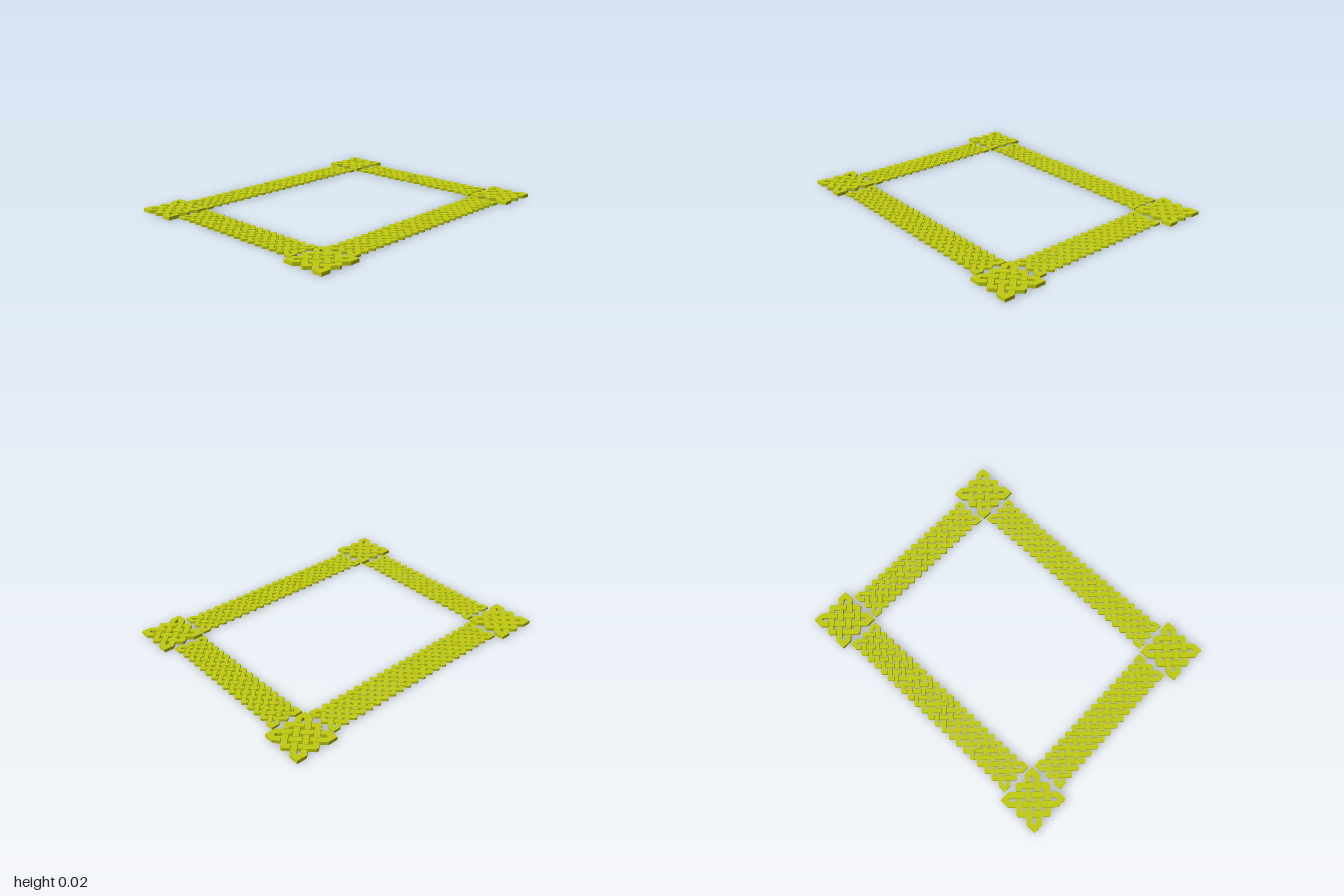
import * as THREE from 'three';
import { mergeGeometries } from 'three/addons/utils/BufferGeometryUtils.js';

const material = new THREE.MeshStandardMaterial({ color: 0xc0cc10, flatShading: true });

// Follow a strand from a crossing to the next one, bouncing off the panel edges.
function walk(i, j, dx, dy, X, Y) {
  const points = [];
  let x = i, y = j;
  for (;;) {
    const px = x, py = y;
    x += dx;
    y += dy;
    const onX = x === 0 || x === X, onY = y === 0 || y === Y;
    if (!onX && !onY) {
      points.push({ x, y });
      return points;
    }
    // two bounces in a row mean a panel corner: square the strand off there
    const last = points[points.length - 1];
    if (last && last.blunt) {
      last.blunt = false;
      points.push({ x: onX ? x : px, y: onY ? y : py });
      points.push({ x, y });
    } else {
      points.push({ x, y, blunt: true });
    }
    if (onX) dx = -dx;
    if (onY) dy = -dy;
  }
}

// Outline of a flat ribbon along a path; edge bounces get a blunt outer tip.
function ribbon(path, width) {
  const h = width / 2, left = [], right = [];
  const dir = (a, b) => new THREE.Vector2(b.x - a.x, b.y - a.y).normalize();
  path.forEach((p, k) => {
    const d0 = dir(path[Math.max(k - 1, 0)], path[Math.max(k, 1)]);
    const d1 = k < path.length - 1 ? dir(p, path[k + 1]) : d0;
    const t = d0.clone().add(d1).normalize();
    const n = new THREE.Vector2(-t.y, t.x);
    const cosHalf = t.dot(d1);
    const turn = d0.cross(d1);
    for (const [side, s] of [[left, 1], [right, -1]]) {
      if (p.blunt && turn * s < 0) {
        const e = h * Math.tan(Math.acos(cosHalf) / 2);
        for (const q of [-e, e]) {
          side.push(new THREE.Vector2(p.x + n.x * s * h + t.x * q, p.y + n.y * s * h + t.y * q));
        }
      } else {
        const m = (s * h) / cosHalf;
        side.push(new THREE.Vector2(p.x + n.x * m, p.y + n.y * m));
      }
    }
  });
  return new THREE.Shape([...left, ...right.reverse()]);
}

// A woven panel: one ribbon piece per over-crossing, ending at the strands it passes under.
function knotPanel(name, cols, rows, sizeX, sizeZ, width, height) {
  const X = cols * 2, Y = rows * 2;
  const ux = (sizeX - width) / X, uy = (sizeZ - width) / Y;
  const trim = width / 2 + width * 0.1;
  const pieces = [];
  for (let i = 1; i < X; i++) {
    for (let j = 1; j < Y; j++) {
      if ((i + j) % 2 === 0) continue;
      const dy = i % 2 ? 1 : -1;
      const path = [...walk(i, j, -1, -dy, X, Y).reverse(), ...walk(i, j, 1, dy, X, Y)]
        .map((p) => ({ x: (p.x - X / 2) * ux, y: (p.y - Y / 2) * uy, blunt: p.blunt }));
      // leave a fine gap beside the crossing strand
      const last = path.length - 1;
      for (const [a, b] of [[path[0], path[1]], [path[last], path[last - 1]]]) {
        const f = trim / Math.hypot(b.x - a.x, b.y - a.y);
        a.x += (b.x - a.x) * f;
        a.y += (b.y - a.y) * f;
      }
      pieces.push(new THREE.ExtrudeGeometry(ribbon(path, width), { depth: height, bevelEnabled: false }));
    }
  }
  const geometry = mergeGeometries(pieces);
  geometry.rotateX(-Math.PI / 2);
  const mesh = new THREE.Mesh(geometry, material);
  mesh.name = name;
  return mesh;
}

export function createModel() {
  const group = new THREE.Group();
  group.name = 'knotworkFrame';

  const corner = knotPanel('cornerKnot', 3, 3, 0.283, 0.28, 0.035, 0.022);
  const longSide = knotPanel('longBorder', 22, 3, 1.398, 0.215, 0.0265, 0.015);
  const shortSide = knotPanel('shortBorder', 3, 16, 0.214, 1.01, 0.0265, 0.015);

  const place = (panel, name, x, z) => {
    const copy = panel.clone();
    copy.name = name;
    copy.position.set(x, 0, z);
    group.add(copy);
  };

  // four corner squares
  for (const [sx, side] of [[1, 'Left'], [-1, 'Right']]) {
    place(corner, 'frontCorner' + side, sx * 0.8585, 0.665);
    place(corner, 'backCorner' + side, sx * 0.8585, -0.665);
    place(shortSide, 'border' + side, sx * 0.829, 0);
  }
  // front and back borders
  place(longSide, 'borderFront', 0, 0.645);
  place(longSide, 'borderBack', 0, -0.645);
  return group;
}
